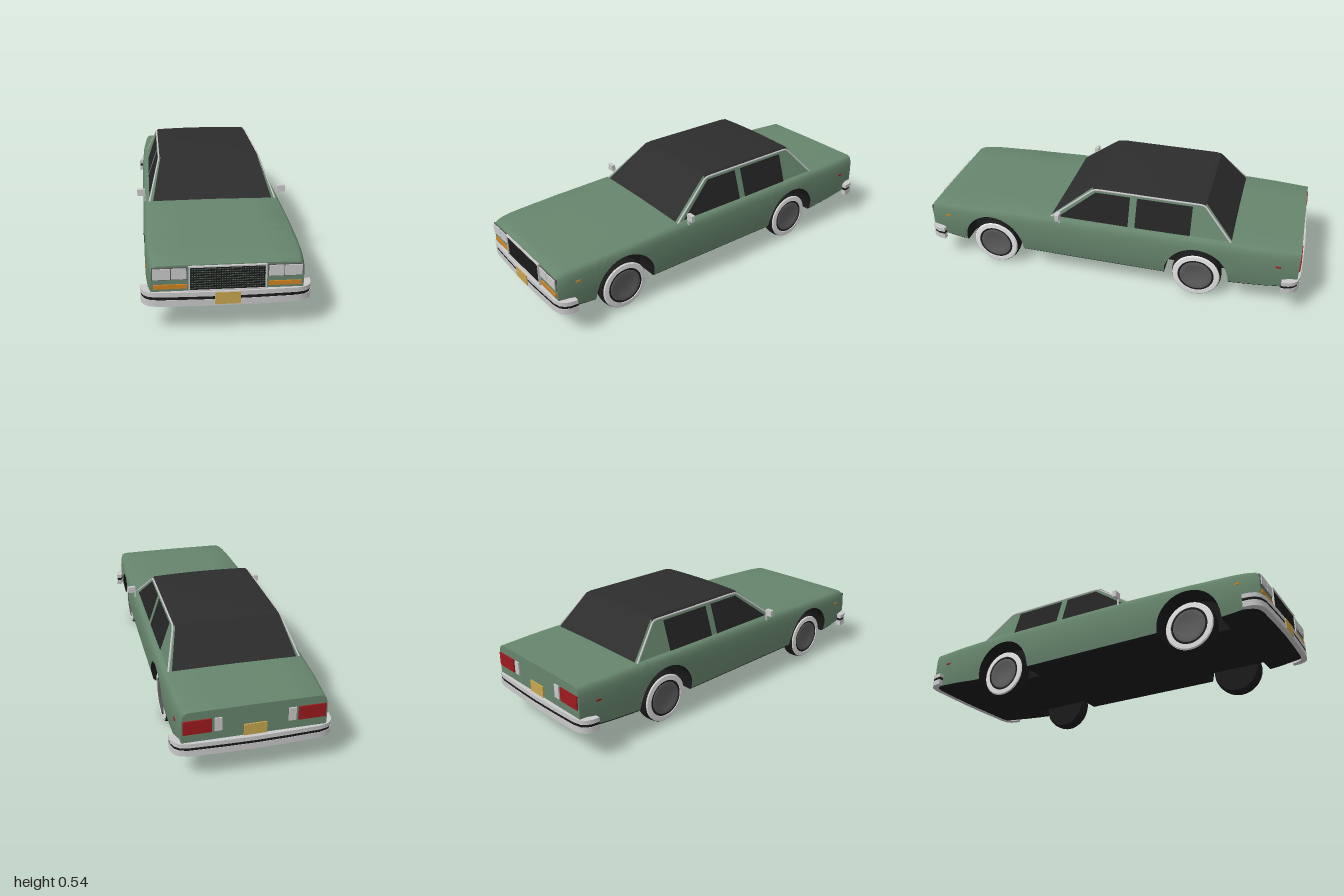
import * as THREE from 'three';
import { toCreasedNormals } from 'three/addons/utils/BufferGeometryUtils.js';

const material = (name, color) => new THREE.MeshStandardMaterial({ name, color, side: THREE.DoubleSide });
const M = {
  paint: material('green paint', 0x66856d),
  roof: material('dark roof', 0x2d2d2d),
  black: material('black rubber', 0x1a1a1a),
  glass: material('dark glass', 0x242424),
  chrome: material('chrome', 0xc9c9c9),
  white: material('whitewall', 0xe4e4e4),
  hub: material('hub grey', 0x5c5c5c),
  amber: material('amber lens', 0xd08322),
  red: material('red lens', 0x9c1a1e),
  gold: material('gold plate', 0xc8a64e),
};

// Piecewise linear lookup in [[key, value], ...] with rising keys
function lookup(table, t) {
  if (t <= table[0][0]) return table[0][1];
  for (let i = 1; i < table.length; i++) {
    const [a, va] = table[i - 1], [b, vb] = table[i];
    if (t <= b) return va + (vb - va) * (t - a) / (b - a);
  }
  return table[table.length - 1][1];
}

// Skin over rows of [x, y, z] points
function loft(rows, crease = 0.6) {
  const n = rows[0].length, index = [];
  for (let i = 0; i < rows.length - 1; i++) for (let j = 0; j < n - 1; j++) {
    const a = i * n + j, c = a + n;
    index.push(a, a + 1, c, a + 1, c + 1, c);
  }
  const g = new THREE.BufferGeometry();
  g.setAttribute('position', new THREE.Float32BufferAttribute(rows.flat(2), 3));
  g.setIndex(index);
  return toCreasedNormals(g, crease);
}

const mirrorRow = half => [...half, ...half.slice(0, -1).reverse().map(([x, y, z]) => [-x, y, z])];
const shapeOf = pts => new THREE.Shape(pts.map(p => new THREE.Vector2(p[0], p[1])));

// Body rules along z
const WHEELS = [0.62, -0.475], ARCH = 0.163, ARCH_Y = 0.14, END = 0.975;
const topAt = z => lookup([[-END, 0.355], [-0.6, 0.36], [0.3, 0.352], [0.6, 0.342], [0.9, 0.331], [0.955, 0.322], [END, 0.31]], z);
const bottomAt = z => lookup([[-END, 0.142], [-0.65, 0.115], [0.8, 0.115], [END, 0.135]], z);
const widthAt = z => lookup([[-END, 0.33], [-0.8, 0.344], [-0.5, 0.352], [0.6, 0.352], [0.85, 0.346], [0.94, 0.337], [END, 0.328]], z);
function archAt(z) {
  for (const c of WHEELS) {
    const d = Math.abs(z - c);
    if (d <= ARCH + 1e-6) return ARCH_Y + Math.sqrt(Math.max(0, ARCH * ARCH - d * d));
  }
  return 0;
}
function sideX(y, z) {
  const low = lookup([[0.115, 0.336], [0.15, 0.344], [0.2, 0.352]], y);
  const high = lookup([[0, 0.322], [0.004, 0.333], [0.012, 0.341], [0.03, 0.348], [0.06, 0.352]], topAt(z) - y);
  return Math.min(low, high) * widthAt(z) / 0.352;
}
function stations() {
  const zs = [-END, -0.9, -0.8, -0.7, -0.2, 0, 0.2, 0.3, 0.82, 0.87, 0.91, 0.94, 0.955, 0.967, END];
  for (const c of WHEELS) {
    for (let i = 0; i <= 20; i++) zs.push(c + ARCH * Math.cos(Math.PI * i / 20));
    zs.push(c - ARCH - 0.002, c + ARCH + 0.002);
  }
  return zs.sort((a, b) => a - b);
}

// Greenhouse side plane
const cabinX = y => 0.318 - 0.056 * (y - 0.35) / 0.165;
function sidePlate(pts, side, lift) {
  const g = new THREE.ShapeGeometry(shapeOf(pts.map(([z, y]) => [-z, y])));
  const p = g.attributes.position;
  for (let i = 0; i < p.count; i++) {
    const z = -p.getX(i), y = p.getY(i);
    p.setXYZ(i, side * (cabinX(y) + lift), y, z);
  }
  g.computeVertexNormals();
  return g;
}

export function createModel() {
  const car = new THREE.Group();
  car.name = 'sedan';
  const add = (name, geometry, mat, parent = car) => {
    const mesh = new THREE.Mesh(geometry, mat);
    mesh.name = name;
    parent.add(mesh);
    return mesh;
  };
  const box = (name, mat, [x0, x1], [y0, y1], [z0, z1], parent) => {
    const m = add(name, new THREE.BoxGeometry(Math.abs(x1 - x0), y1 - y0, z1 - z0), mat, parent);
    m.position.set((x0 + x1) / 2, (y0 + y1) / 2, (z0 + z1) / 2);
    return m;
  };

  // Painted shell and black underside with wheel wells
  const shell = [], under = [];
  for (const z of stations()) {
    const top = topAt(z), yb = bottomAt(z), arch = archAt(z), y0 = Math.max(yb + 0.012, arch);
    const half = [0, 0.15, 0.35, 0.6, 0.8, 0.9, 0.96, 0.985, 1].map(f => {
      const y = y0 + f * (top - y0);
      return [sideX(y, z), y, z];
    });
    half.push([0.18, top + 0.001, z], [0, top + 0.002, z]);
    shell.push(mirrorRow(half));
    const x = sideX(y0, z), y1 = Math.max(yb, arch);
    under.push(mirrorRow([[x, y0, z], [x - 0.012, y1, z], [0.22, y1, z], [0.22, yb, z], [0, yb, z]]).reverse());
  }
  add('bodyShell', loft(shell), M.paint);
  add('underside', loft(under), M.black);
  add('frontPanel', new THREE.ShapeGeometry(shapeOf(shell[shell.length - 1])), M.paint).position.z = END;
  const back = add('rearPanel', new THREE.ShapeGeometry(shapeOf(shell[0])), M.paint);
  back.rotation.y = Math.PI;
  back.position.z = -END;

  // Roof with front and rear screens: [z, y, half width, crown]
  const roofLine = [[-0.64, 0.356, 0.302, 0], [-0.495, 0.522, 0.254, 0.006], [-0.465, 0.528, 0.252, 0.007],
    [0.05, 0.528, 0.252, 0.007], [0.085, 0.522, 0.254, 0.006], [0.3, 0.35, 0.302, 0]];
  const roofRows = roofLine.map(([z, y, w, crown]) =>
    Array.from({ length: 11 }, (_, i) => { const u = 1 - i / 5; return [w * u, y + crown * (1 - u * u), z]; }));
  add('rearScreen', loft(roofRows.slice(0, 2)), M.roof);
  add('roof', loft(roofRows.slice(1, 5)), M.roof);
  add('windscreen', loft(roofRows.slice(4)), M.roof);

  // Cabin sides, pillars, windows and trim
  const outline = [[-0.64, 0.35], [-0.49, 0.512], [-0.465, 0.515], [0.05, 0.515], [0.08, 0.512], [0.3, 0.345]];
  for (const s of [1, -1]) {
    const side = new THREE.Group();
    side.name = s > 0 ? 'leftCabinSide' : 'rightCabinSide';
    car.add(side);
    add('sideFrame', sidePlate(outline, s, 0), M.paint, side);
    const edge = outline.map(([z, y], i) => {
      const [rz, ry, rw] = roofLine[i];
      return [[s * cabinX(y), y, z], [s * rw, ry, rz]];
    });
    add('rearPillarEdge', loft(edge.slice(0, 2)), M.paint, side);
    add('roofEdge', loft(edge.slice(1, 5)), M.roof, side);
    add('frontPillarEdge', loft(edge.slice(4)), M.paint, side);
    add('frontWindow', sidePlate([[0.255, 0.356], [0.068, 0.502], [-0.112, 0.502], [-0.112, 0.356]], s, 0.003), M.glass, side);
    add('rearWindow', sidePlate([[-0.148, 0.356], [-0.148, 0.502], [-0.43, 0.502], [-0.43, 0.356]], s, 0.003), M.glass, side);
    const path = new THREE.CurvePath();
    const pts = outline.map(([z, y]) => new THREE.Vector3(s * (cabinX(y) + 0.001), y, z));
    for (let i = 1; i < pts.length; i++) path.add(new THREE.LineCurve3(pts[i - 1], pts[i]));
    add('windowTrim', new THREE.TubeGeometry(path, 60, 0.005, 6), M.chrome, side);

    // Door mirror
    box('mirror', M.chrome, [s * 0.34, s * 0.38], [0.367, 0.4], [0.235, 0.255], side);
    box('mirrorStalk', M.chrome, [s * 0.338, s * 0.345], [0.335, 0.372], [0.24, 0.25], side);

    // Side markers
    box('frontMarker', M.amber, [s * 0.335, s * 0.346], [0.265, 0.273], [0.862, 0.888], side);
    box('rearMarker', M.red, [s * 0.33, s * 0.342], [0.265, 0.273], [-0.888, -0.862], side);

    // Lamps
    box('headlampSurround', M.hub, [s * 0.172, s * 0.323], [0.247, 0.303], [0.97, 0.978], side);
    box('innerHeadlamp', M.chrome, [s * 0.176, s * 0.24], [0.251, 0.299], [0.97, 0.983], side);
    box('outerHeadlamp', M.chrome, [s * 0.244, s * 0.319], [0.251, 0.299], [0.97, 0.983], side);
    box('turnSignal', M.amber, [s * 0.174, s * 0.316], [0.206, 0.225], [0.97, 0.981], side);
    box('tailLamp', M.red, [s * 0.195, s * 0.322], [0.248, 0.315], [-0.981, -0.97], side);
    box('reverseLamp', M.chrome, [s * 0.15, s * 0.184], [0.25, 0.315], [-0.981, -0.97], side);
  }

  // Grille: chrome frame and black lattice
  const grille = new THREE.Group();
  grille.name = 'grille';
  car.add(grille);
  for (const y of [0.192, 0.302]) box('grilleFrameBar', M.chrome, [-0.167, 0.167], [y, y + 0.006], [0.97, 0.986], grille);
  for (const x of [-0.167, 0.161]) box('grilleFramePost', M.chrome, [x, x + 0.006], [0.192, 0.308], [0.97, 0.986], grille);
  for (let i = 0; i < 10; i++) {
    const y = 0.2 + i * 0.0108;
    box('grilleBar', M.black, [-0.161, 0.161], [y - 0.0025, y + 0.0025], [0.97, 0.981], grille);
  }
  for (let i = 0; i < 30; i++) {
    const x = -0.156 + i * 0.312 / 29;
    box('grilleSlat', M.black, [x - 0.0013, x + 0.0013], [0.198, 0.302], [0.97, 0.98], grille);
  }

  // Wraparound bumpers in three bands
  const plan = [[0.372, 0.9], [0.369, 0.935], [0.358, 0.96], [0.338, 0.978], [0.3, 0.988], [0.15, 0.994], [0, 0.997]];
  const bumper = (name, y, turn) => {
    const group = new THREE.Group();
    group.name = name;
    group.rotation.y = turn;
    group.position.y = y;
    car.add(group);
    const band = (label, mat, y0, y1, inset) => {
      const outer = plan.map(([x, z], i) => [x * (1 - inset * 3), i ? z - inset : z]);
      const inner = plan.map(([x, z], i) => [x * 0.93, i ? z - 0.024 : z]);
      const full = h => [...h, ...h.slice(0, -1).reverse().map(([x, z]) => [-x, z])];
      const pts = [...full(outer), ...full(inner).reverse()].map(([x, z]) => [x, -z]);
      const g = new THREE.ExtrudeGeometry(shapeOf(pts), { depth: y1 - y0, bevelEnabled: false });
      g.rotateX(-Math.PI / 2);
      add(label, toCreasedNormals(g, 0.6), mat, group).position.y = y0;
    };
    band('lowerBand', M.chrome, 0, 0.03, 0);
    band('rubberStrip', M.black, 0.03, 0.044, 0.002);
    band('upperBand', M.chrome, 0.044, 0.065, 0);
  };
  bumper('frontBumper', 0.128, 0);
  bumper('rearBumper', 0.14, Math.PI);
  box('frontPlate', M.gold, [-0.055, 0.055], [0.136, 0.19], [0.994, 1]);
  box('rearPlate', M.gold, [-0.052, 0.052], [0.206, 0.262], [-0.981, -0.973]);

  // Wheels, turned about their axle
  const lathe = pts => toCreasedNormals(new THREE.LatheGeometry(pts.map(p => new THREE.Vector2(...p)), 40), 0.6);
  const tyre = lathe([[0, -0.03], [0.085, -0.03], [0.09, -0.036], [0.116, -0.036], [0.124, -0.028], [0.127, -0.012],
    [0.127, 0.012], [0.124, 0.028], [0.116, 0.035], [0.09, 0.036], [0, 0.034]]);
  const wall = lathe([[0.122, 0.032], [0.116, 0.037], [0.094, 0.039], [0.092, 0.034]]);
  const cap = lathe([[0.084, 0.034], [0.082, 0.038], [0.06, 0.04], [0.056, 0.038], [0, 0.041]]);
  for (const z of WHEELS) for (const s of [1, -1]) {
    const wheel = new THREE.Group();
    wheel.name = (z > 0 ? 'front' : 'rear') + (s > 0 ? 'LeftWheel' : 'RightWheel');
    wheel.position.set(s * 0.294, 0.127, z);
    wheel.rotation.z = -s * Math.PI / 2;
    car.add(wheel);
    add('tyre', tyre, M.black, wheel);
    add('whitewall', wall, M.white, wheel);
    add('hubcap', cap, M.hub, wheel);
  }
  return car;
}
